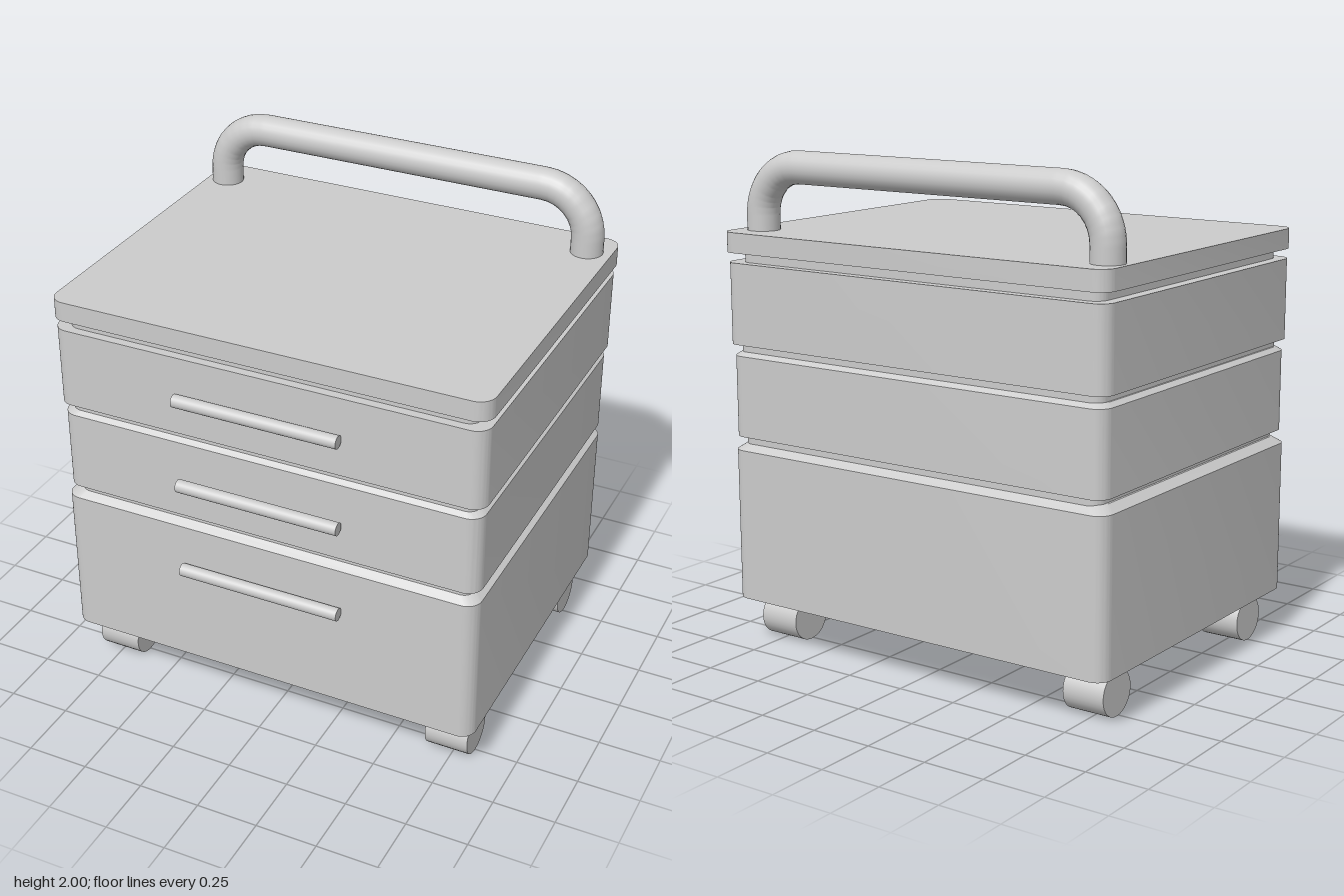
import * as THREE from 'three';
import { toCreasedNormals } from 'three/addons/utils/BufferGeometryUtils.js';

const material = new THREE.MeshStandardMaterial({ color: 0xcccccc });

// Rounded-rectangle slab; "inset" pulls the top edge inwards to form a chamfer
function slab(name, [x0, x1], [z0, z1], [y0, y1], radius = 0.06, inset = 0) {
  const hw = (x1 - x0) / 2, hd = (z1 - z0) / 2, r = radius;
  const shape = new THREE.Shape();
  shape.absarc(hw - r, hd - r, r, 0, Math.PI / 2);
  shape.absarc(r - hw, hd - r, r, Math.PI / 2, Math.PI);
  shape.absarc(r - hw, r - hd, r, Math.PI, Math.PI * 1.5);
  shape.absarc(hw - r, r - hd, r, Math.PI * 1.5, Math.PI * 2);
  const geometry = new THREE.ExtrudeGeometry(shape, { depth: y1 - y0, bevelEnabled: false, curveSegments: 8 });
  geometry.rotateX(-Math.PI / 2);
  const p = geometry.attributes.position;
  for (let i = 0; i < p.count; i++) {
    if (inset && p.getY(i) > (y1 - y0) / 2) {
      p.setX(i, p.getX(i) * (1 - inset / hw));
      p.setZ(i, p.getZ(i) * (1 - inset / hd));
    }
  }
  geometry.translate((x0 + x1) / 2, y0, (z0 + z1) / 2);
  const mesh = new THREE.Mesh(toCreasedNormals(geometry, 0.5), material);
  mesh.name = name;
  return mesh;
}

// Cylinder lying along x
function bar(name, radius, x0, x1, y, z) {
  const geometry = new THREE.CylinderGeometry(radius, radius, x1 - x0, 32);
  geometry.rotateZ(Math.PI / 2);
  const mesh = new THREE.Mesh(geometry, material);
  mesh.name = name;
  mesh.position.set((x0 + x1) / 2, y, z);
  return mesh;
}

// Arched push handle: two legs, two quarter bends and a crossbar
function pushHandle() {
  const left = -0.805, right = 0.787, top = 1.935, base = 1.66, z = -0.578, r = 0.19;
  const v = (x, y) => new THREE.Vector3(x, y, z);
  const points = [v(left, base)];
  const steps = 8;
  for (let i = 0; i <= steps; i++) {
    const a = Math.PI - (i / steps) * Math.PI / 2;
    points.push(v(left + r + r * Math.cos(a), top - r + r * Math.sin(a)));
  }
  for (let i = 0; i <= steps; i++) {
    const a = Math.PI / 2 - (i / steps) * Math.PI / 2;
    points.push(v(right - r + r * Math.cos(a), top - r + r * Math.sin(a)));
  }
  points.push(v(right, base));
  const path = new THREE.CurvePath();
  for (let i = 1; i < points.length; i++) path.add(new THREE.LineCurve3(points[i - 1], points[i]));
  const mesh = new THREE.Mesh(new THREE.TubeGeometry(path, 120, 0.065, 24), material);
  mesh.name = 'pushHandle';
  return mesh;
}

export function createModel() {
  const model = new THREE.Group();
  model.name = 'drawerTrolley';

  // Cabinet body: drawers stacked with recessed gaps between them
  model.add(
    slab('bottomDrawer', [-0.886, 0.867], [-0.717, 0.673], [0.197, 0.812]),
    slab('bottomDrawerChamfer', [-0.886, 0.867], [-0.717, 0.673], [0.812, 0.84], 0.06, 0.035),
    slab('lowerGap', [-0.842, 0.834], [-0.687, 0.643], [0.83, 0.868], 0.05),
    slab('middleDrawer', [-0.875, 0.867], [-0.71, 0.668], [0.866, 1.192]),
    slab('middleDrawerChamfer', [-0.875, 0.867], [-0.71, 0.668], [1.192, 1.208], 0.06, 0.02),
    slab('upperGap', [-0.848, 0.843], [-0.69, 0.648], [1.2, 1.242], 0.05),
    slab('topDrawer', [-0.884, 0.877], [-0.717, 0.673], [1.238, 1.562]),
    slab('lidGap', [-0.838, 0.828], [-0.677, 0.637], [1.55, 1.61], 0.05),
    slab('lid', [-0.89, 0.885], [-0.725, 0.676], [1.602, 1.682], 0.065),
    pushHandle()
  );

  // Drawer pulls
  for (const y of [0.63, 1.02, 1.395]) model.add(bar('drawerPull', 0.026, -0.35, 0.325, y, 0.699));

  // Wheels, slightly flattened in height
  for (const [x0, x1] of [[-0.823, -0.648], [0.648, 0.825]]) {
    for (const z of [0.498, -0.514]) {
      const wheel = bar('wheel', 0.095, x0, x1, 0.09, z);
      wheel.scale.y = 0.09 / 0.095;
      model.add(wheel);
    }
  }
  return model;
}
